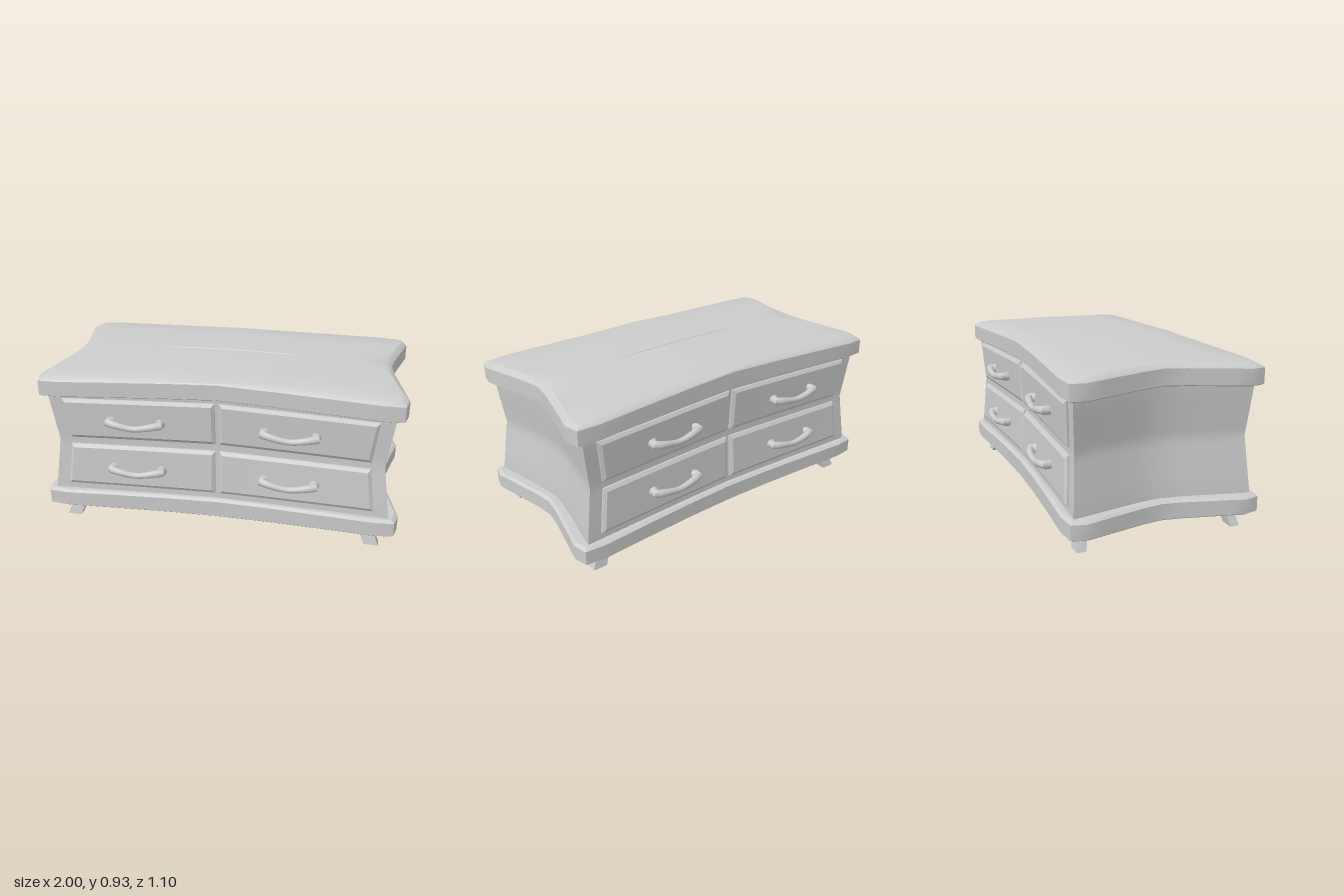
import * as THREE from 'three';
import { toCreasedNormals } from 'three/addons/utils/BufferGeometryUtils.js';

const material = new THREE.MeshStandardMaterial({ color: 0xcccccc });

function addMesh(parent, name, geometry, crease = 0.5) {
  const mesh = new THREE.Mesh(toCreasedNormals(geometry, crease), material);
  mesh.name = name;
  parent.add(mesh);
  return mesh;
}

// Mirror a quarter outline (from the +x axis to the +z axis) into a closed loop
function fullOutline(quarter) {
  const back = quarter.slice(0, -1).reverse().map(([x, z]) => [-x, z]);
  const half = [...quarter, ...back];
  return [...half, ...half.slice(1, -1).reverse().map(([x, z]) => [x, -z])];
}

// Loft rings of [x, y, z] points from bottom to top and close both ends
function loft(rings) {
  const n = rings[0].length;
  const positions = rings.flat(2);
  const index = [];
  for (let i = 0; i < rings.length - 1; i++) {
    for (let j = 0; j < n; j++) {
      const a = i * n + j, b = i * n + (j + 1) % n;
      index.push(a, a + n, b, b, a + n, b + n);
    }
  }
  const last = rings.length - 1;
  [0, last].forEach((r) => {
    const y = rings[r].reduce((sum, p) => sum + p[1], 0) / n;
    const centre = positions.length / 3;
    positions.push(0, y, 0);
    for (let j = 0; j < n; j++) {
      const a = r * n + j, b = r * n + (j + 1) % n;
      index.push(...(r === 0 ? [a, b, centre] : [b, a, centre]));
    }
  });
  const geometry = new THREE.BufferGeometry();
  geometry.setAttribute('position', new THREE.Float32BufferAttribute(positions, 3));
  geometry.setIndex(index);
  return geometry;
}

// Slab outline with pinched sides and clipped corners
const slabOutline = fullOutline([
  [0.91, 0], [0.925, 0.11], [0.95, 0.22], [0.975, 0.33], [1, 0.435],
  [0.98, 0.515], [0.87, 0.526], [0.6, 0.51], [0.3, 0.495], [0, 0.488],
]);
const slabRing = (inset, height) => slabOutline.map(([px, pz]) => {
  const x = px * (1 - inset), z = pz * (1 - inset * 1.9);
  return [x, height(x, z), z];
});

// Upward bow of edges towards the middle of each side
const bow = (x, z) => 0.035 * (1 - Math.abs(x))
  + 0.018 * Math.max(0, 1 - Math.abs(z) / 0.5) * Math.abs(x);
const dome = (x, z) => 0.931 - 0.025 * Math.abs(x) ** 1.3 - 0.015 * Math.abs(z) / 0.48;

// Body warp: narrow waist, concave front, bowed rails
const waist = (y) => Math.max(0, 1 - Math.abs(y - 0.5) / 0.29);
const lift = (x, y) => 0.03 * (1 - Math.abs(x)) * (y - 0.1) / 0.7;
const frontZ = (x, y) => (0.455 + 0.03 * (Math.abs(x) / 0.945) ** 1.3) * (1 - 0.04 * waist(y));

// Bevelled drawer front, bent to the body's face
function drawerGeometry(x0, x1, y0, y1) {
  const w = x1 - x0, h = y1 - y0, bevel = 0.018;
  const geometry = new THREE.BoxGeometry(w, h, 2, 6, 3, 2);
  const depths = [-0.02, 0.01, 0.022];
  const p = geometry.attributes.position;
  for (let i = 0; i < p.count; i++) {
    const layer = Math.round(p.getZ(i)) + 1;
    const shrink = layer === 2 ? bevel * 2 : 0;
    const x = p.getX(i) * (1 - shrink / w) + (x0 + x1) / 2;
    const y = p.getY(i) * (1 - shrink / h) + (y0 + y1) / 2;
    p.setXYZ(i, x * (1 - 0.042 * waist(y)), y + lift(x, y), frontZ(x, y) + depths[layer]);
  }
  return geometry;
}

// Sagging pull with flared ends
function handleGeometry(cx, cy) {
  const profile = [
    [-0.135, 0.002, 0.005], [-0.15, 0.004, 0.032], [-0.11, 0, 0.052],
    [0, -0.018, 0.056],
    [0.11, 0, 0.052], [0.15, 0.004, 0.032], [0.135, 0.002, 0.005],
  ];
  const path = new THREE.CatmullRomCurve3(profile.map(([x, y, z]) =>
    new THREE.Vector3(cx + x, cy + y, frontZ(cx + x, cy) + 0.016 + z)));
  const steps = 20, sides = 8;
  const geometry = new THREE.TubeGeometry(path, steps, 1, sides);
  const p = geometry.attributes.position;
  const v = new THREE.Vector3();
  for (let i = 0; i < p.count; i++) {
    const u = Math.floor(i / (sides + 1)) / steps;
    const centre = path.getPointAt(u);
    const radius = 0.017 + 0.009 * Math.abs(2 * u - 1) ** 1.5;
    v.fromBufferAttribute(p, i).sub(centre).multiplyScalar(radius).add(centre);
    p.setXYZ(i, v.x, v.y, v.z);
  }
  return geometry;
}

export function createModel() {
  const model = new THREE.Group();
  model.name = 'chestOfDrawers';

  // Domed top slab
  addMesh(model, 'topSlab', loft([
    slabRing(0.3, () => 0.79),
    slabRing(0.012, (x, z) => 0.775 + bow(x, z)),
    slabRing(0, (x, z) => 0.782 + bow(x, z)),
    slabRing(0, (x, z) => 0.866 + bow(x, z)),
    slabRing(0.006, (x, z) => 0.873 + bow(x, z)),
    slabRing(0.04, dome),
    slabRing(0.2, dome),
    slabRing(0.4, dome),
    slabRing(0.52, dome),
  ]));

  // Base slab
  addMesh(model, 'baseSlab', loft([
    slabRing(0.006, () => 0.1),
    slabRing(0, () => 0.105),
    slabRing(0, (x, z) => 0.184 + 0.3 * bow(x, z)),
    slabRing(0.018, (x, z) => 0.196 + 0.3 * bow(x, z)),
  ]));

  // Pinched body
  const bodyOutline = fullOutline([
    [0.86, 0], [0.872, 0.11], [0.892, 0.22], [0.918, 0.35], [0.945, 0.485],
    ...[0.78, 0.6, 0.4, 0.2, 0].map((x) => [x, frontZ(x, 0)]),
  ]);
  addMesh(model, 'body', loft([0.15, 0.21, 0.3, 0.4, 0.46, 0.5, 0.54, 0.6, 0.7, 0.79, 0.83].map((y) =>
    bodyOutline.map(([x, z]) =>
      [x * (1 - 0.042 * waist(y)), y + lift(x, y), z * (1 - 0.04 * waist(y))]))));

  // Drawers and handles, the same on front and back
  const rows = [
    { name: 'lower', y0: 0.235, y1: 0.478, handleY: 0.358 },
    { name: 'upper', y0: 0.52, y1: 0.755, handleY: 0.645 },
  ];
  const columns = [
    { name: 'Right', x0: -0.868, x1: -0.012, front: -0.45 },
    { name: 'Left', x0: 0.012, x1: 0.868, front: 0.4 },
  ];
  ['front', 'back'].forEach((face) => {
    const group = new THREE.Group();
    group.name = `${face}Drawers`;
    if (face === 'back') group.rotation.y = Math.PI;
    model.add(group);
    for (const row of rows) {
      for (const col of columns) {
        const handleX = face === 'front' ? col.front : col.x0 < 0 ? -0.4 : 0.45;
        addMesh(group, `${row.name}${col.name}Drawer`,
          drawerGeometry(col.x0, col.x1, row.y0, row.y1), 0.3);
        addMesh(group, `${row.name}${col.name}Handle`, handleGeometry(handleX, row.handleY), 0.9);
      }
    }
  });

  // Splayed legs
  for (const sx of [-1, 1]) {
    for (const sz of [-1, 1]) {
      const leg = new THREE.BoxGeometry(0.08, 0.12, 0.052);
      const p = leg.attributes.position;
      for (let i = 0; i < p.count; i++) {
        const y = p.getY(i) + 0.06;
        p.setXYZ(i, p.getX(i) + sx * (0.868 - 0.4 * y), y, p.getZ(i) + sz * (0.433 - 0.21 * y));
      }
      addMesh(model, `${sz > 0 ? 'front' : 'back'}${sx > 0 ? 'Left' : 'Right'}Leg`, leg);
    }
  }

  return model;
}
